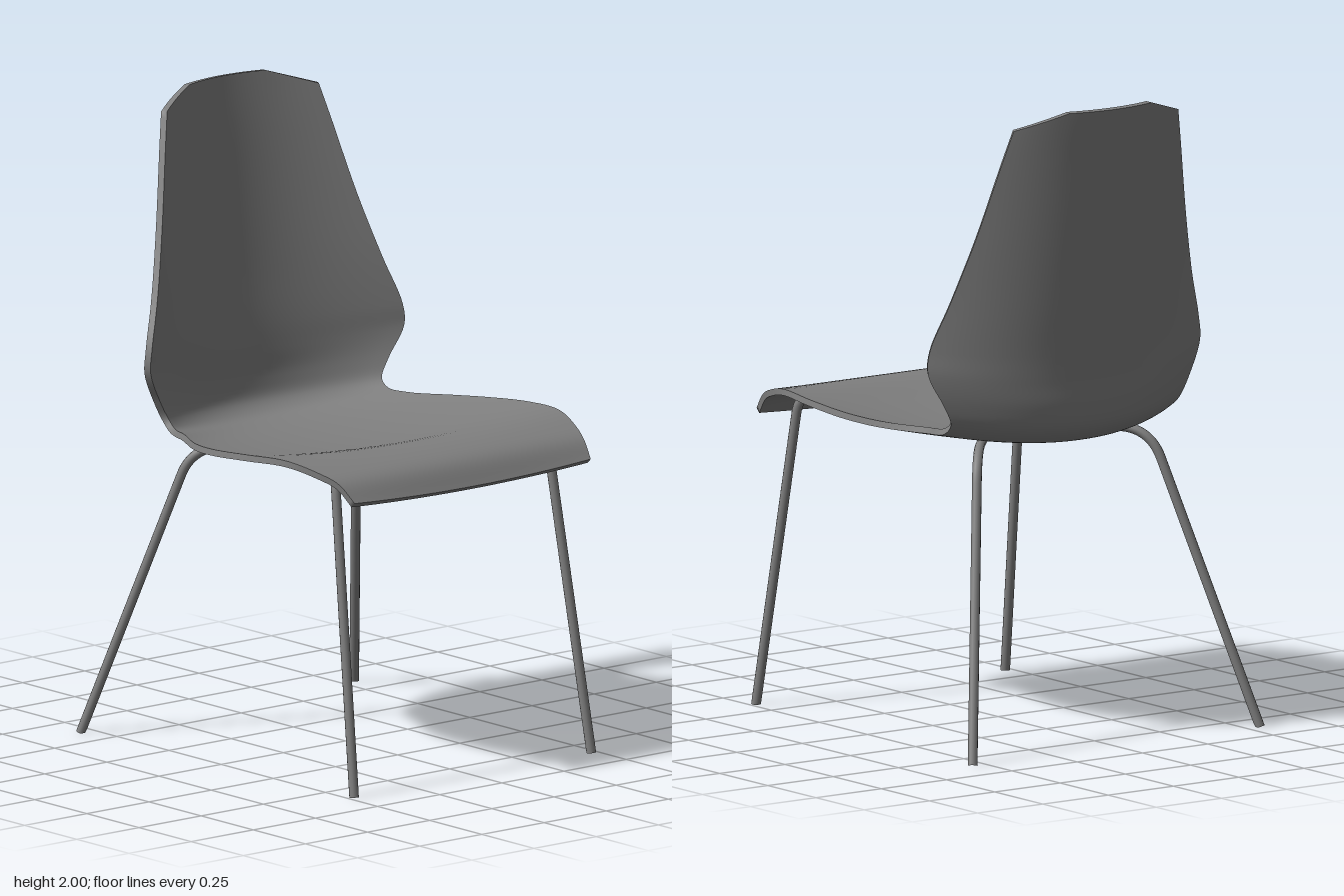
import * as THREE from 'three';

const V = (x, y, z) => new THREE.Vector3(x, y, z);

// Shell stations from the top of the back to the front lip:
// centre x, centre y, edge x, edge y, half width
const STATIONS = [
  [-0.598, 1.998, -0.50, 1.948, 0.31],
  [-0.578, 1.85, -0.475, 1.84, 0.338],
  [-0.55, 1.60, -0.42, 1.60, 0.398],
  [-0.526, 1.38, -0.37, 1.40, 0.458],
  [-0.508, 1.22, -0.335, 1.25, 0.51],
  [-0.502, 1.13, -0.335, 1.18, 0.515],
  [-0.50, 1.05, -0.35, 1.08, 0.465],
  [-0.485, 0.985, -0.345, 1.02, 0.435],
  [-0.44, 0.948, -0.31, 0.99, 0.435],
  [-0.36, 0.935, -0.24, 0.985, 0.452],
  [-0.20, 0.936, -0.10, 0.99, 0.522],
  [0.00, 0.948, 0.03, 1.00, 0.558],
  [0.20, 0.972, 0.20, 1.015, 0.569],
  [0.38, 1.007, 0.37, 1.022, 0.548],
  [0.48, 1.0, 0.48, 1.0, 0.517],
  [0.55, 0.973, 0.55, 0.973, 0.492],
  [0.605, 0.908, 0.603, 0.922, 0.475],
];

function sheet(positions, index) {
  const g = new THREE.BufferGeometry();
  g.setAttribute('position', new THREE.Float32BufferAttribute(positions, 3));
  g.setIndex(index);
  g.computeVertexNormals();
  return g;
}

function createShell(material) {
  const rows = 96, cols = 28, half = 0.01;
  const centre = new THREE.CatmullRomCurve3(STATIONS.map(s => V(s[0], s[1], 0)));
  const edge = new THREE.CatmullRomCurve3(STATIONS.map(s => V(s[2], s[3], s[4])));

  // Middle surface, bowed from the centre line to the edges
  const mid = [], index = [], back = [];
  const id = (i, j) => i * (cols + 1) + j;
  for (let i = 0; i <= rows; i++) {
    const t = i / rows, c = centre.getPoint(t), e = edge.getPoint(t);
    const topness = Math.max(0, 1 - t * 16);
    for (let j = 0; j <= cols; j++) {
      const u = (j / cols) * 2 - 1, bow = u * u;
      // The top edge is straight in the middle with cut corners
      const lift = THREE.MathUtils.lerp(bow, Math.max(0, 2 * Math.abs(u) - 1), topness);
      mid.push(THREE.MathUtils.lerp(c.x, e.x, bow), THREE.MathUtils.lerp(c.y, e.y, lift), u * e.z);
      if (i < rows && j < cols) {
        const a = id(i, j), b = id(i, j + 1), d = id(i + 1, j), f = id(i + 1, j + 1);
        index.push(a, b, d, b, f, d);
        back.push(a, d, b, b, d, f);
      }
    }
  }
  const normals = sheet(mid, index).attributes.normal.array;
  const upper = mid.map((v, k) => v + normals[k] * half);
  const lower = mid.map((v, k) => v - normals[k] * half);

  // Rim joining both faces around the outline
  const loop = [];
  for (let j = 0; j < cols; j++) loop.push(id(0, j));
  for (let i = 0; i < rows; i++) loop.push(id(i, cols));
  for (let j = cols; j > 0; j--) loop.push(id(rows, j));
  for (let i = rows; i > 0; i--) loop.push(id(i, 0));
  const rim = [], rimIndex = [], n = loop.length;
  loop.forEach((v, k) => {
    rim.push(...lower.slice(v * 3, v * 3 + 3), ...upper.slice(v * 3, v * 3 + 3));
    const a = 2 * k, b = 2 * ((k + 1) % n);
    rimIndex.push(a, b, b + 1, a, b + 1, a + 1);
  });

  const shell = new THREE.Group();
  shell.name = 'seatShell';
  const parts = {
    shellUpperFace: sheet(upper, index),
    shellLowerFace: sheet(lower, back),
    shellRim: sheet(rim, rimIndex),
  };
  for (const [name, geometry] of Object.entries(parts)) {
    const mesh = new THREE.Mesh(geometry, material);
    mesh.name = name;
    shell.add(mesh);
  }
  return shell;
}

// Polyline with rounded corners; radii[k] is the bend length at inner point k
function bentPath(points, radii) {
  const path = new THREE.CurvePath();
  let from = points[0];
  for (let k = 1; k < points.length - 1; k++) {
    const p = points[k], r = radii[k - 1];
    const a = p.clone().add(points[k - 1].clone().sub(p).setLength(r));
    const b = p.clone().add(points[k + 1].clone().sub(p).setLength(r));
    path.add(new THREE.LineCurve3(from, a));
    path.add(new THREE.QuadraticBezierCurve3(a, p, b));
    from = b;
  }
  path.add(new THREE.LineCurve3(from, points[points.length - 1]));
  return path;
}

// One bent tube: rear leg, diagonal bar under the seat, opposite front leg
function createLegTube(side, material) {
  const r = 0.015;
  const rearFoot = V(-0.614, 0, 0.55 * side), frontFoot = V(0.61, 0, -0.477 * side);
  const path = bentPath([
    rearFoot,
    V(-0.34, 0.922, 0.33 * side),
    V(0.03, 0.922, 0),
    V(0.455, 1.0, -0.425 * side),
    frontFoot,
  ], [0.1, 0.06, 0.07]);
  const geometry = new THREE.TubeGeometry(path, 180, r, 12);
  const p = geometry.attributes.position;
  for (let i = 0; i < p.count; i++) p.setY(i, Math.max(0, p.getY(i)));

  const group = new THREE.Group();
  group.name = side > 0 ? 'legTubeRearLeft' : 'legTubeRearRight';
  const tube = new THREE.Mesh(geometry, material);
  tube.name = 'bentTube';
  group.add(tube);
  // Flat ends on the floor
  for (const foot of [rearFoot, frontFoot]) {
    const cap = new THREE.Mesh(new THREE.CircleGeometry(r, 12), material);
    cap.name = 'footEnd';
    cap.rotation.x = Math.PI / 2;
    cap.position.copy(foot);
    group.add(cap);
  }
  return group;
}

export function createModel() {
  const material = new THREE.MeshStandardMaterial({ color: 0x808080 });
  const chair = new THREE.Group();
  chair.name = 'chair';
  chair.add(createShell(material));
  for (const side of [1, -1]) chair.add(createLegTube(side, material));
  return chair;
}
